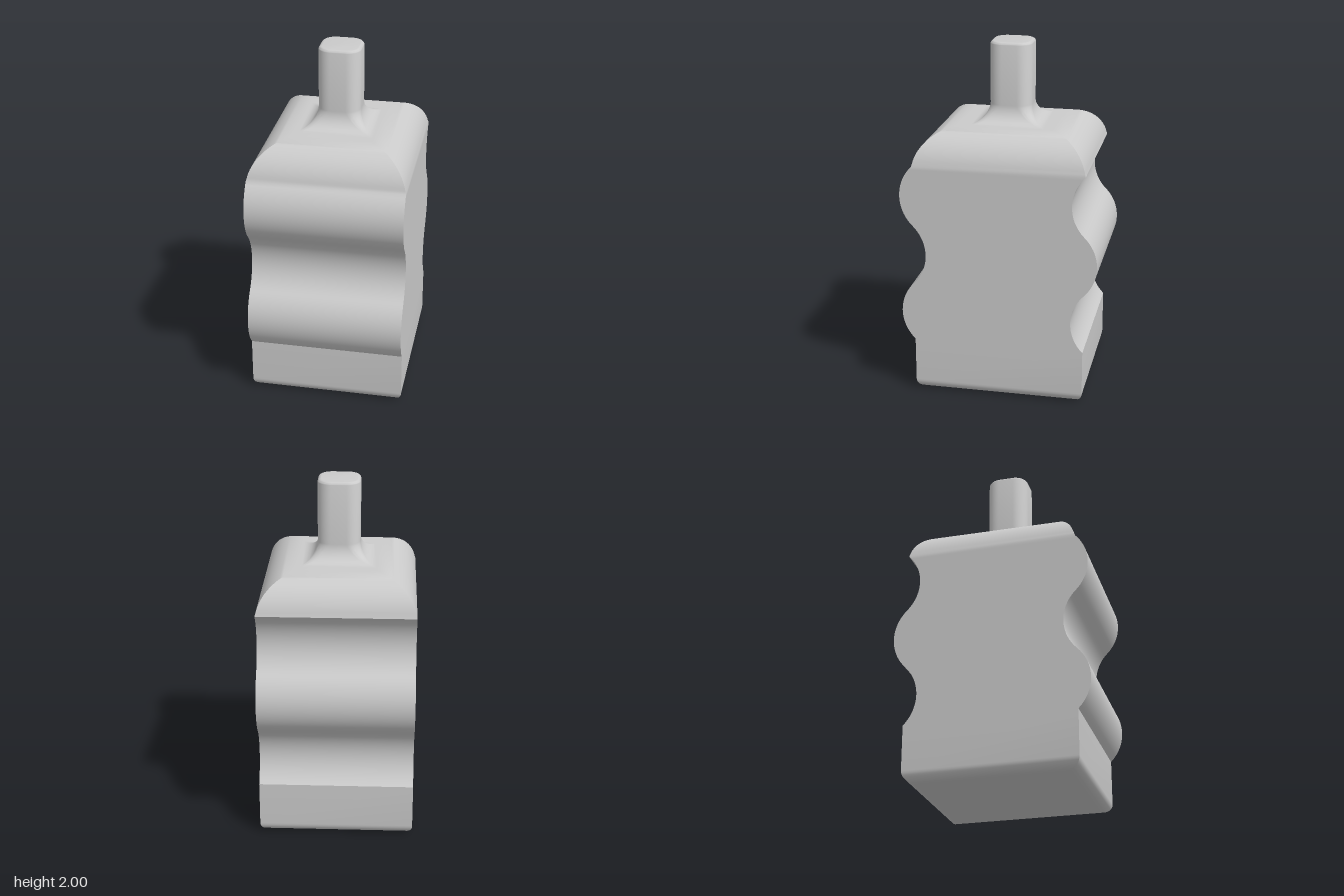
import * as THREE from 'three';
import { toCreasedNormals } from 'three/addons/utils/BufferGeometryUtils.js';

const HX = 0.44, HZ = 0.486;      // body half width and half depth
const WAVE_Y = 0.317, WAVE_H = 0.346, SAG = 0.072;
const WAVE_TOP = WAVE_Y + 3 * WAVE_H;
const TOP = 1.545, SHOULDER = 0.22;

// Ring of a (rounded) rectangle, counterclockwise seen from above
function ring({ y, x, front, back, r = 0 }, steps) {
  const points = [];
  const corners = [[1, back + r], [-1, back + r], [-1, front - r], [1, front - r]];
  corners.forEach(([side, z], k) => {
    for (let i = 0; i <= steps; i++) {
      const a = (k + (steps ? i / steps : 0.5)) * Math.PI / 2;
      points.push([side * (x - r) + r * Math.cos(a), y, z - r * Math.sin(a)]);
    }
  });
  return points;
}

// Skin stacked sections, with flat caps where wanted
function loft(sections, steps, capBottom) {
  const rings = sections.map(s => ring(s, steps));
  const n = rings[0].length, pos = [];
  const tri = (a, b, c) => pos.push(...a, ...b, ...c);
  for (let i = 0; i < rings.length - 1; i++) {
    for (let j = 0; j < n; j++) {
      const k = (j + 1) % n, lo = rings[i], hi = rings[i + 1];
      tri(lo[j], lo[k], hi[k]);
      tri(lo[j], hi[k], hi[j]);
    }
  }
  const first = rings[0], last = rings[rings.length - 1];
  for (let j = 1; j < n - 1; j++) {
    tri(last[0], last[j], last[j + 1]);
    if (capBottom) tri(first[0], first[j + 1], first[j]);
  }
  const geometry = new THREE.BufferGeometry();
  geometry.setAttribute('position', new THREE.Float32BufferAttribute(pos, 3));
  return toCreasedNormals(geometry, Math.PI / 6);
}

// Sideways shift of the three alternating arcs of the grip
function wave(y) {
  if (y <= WAVE_Y || y >= WAVE_TOP) return 0;
  const h = WAVE_H / 2;
  const radius = (h * h + SAG * SAG) / (2 * SAG);
  const index = Math.min(2, Math.floor((y - WAVE_Y) / WAVE_H));
  const d = y - WAVE_Y - (index + 0.5) * WAVE_H;
  const bulge = Math.sqrt(radius * radius - d * d) - (radius - SAG);
  return index % 2 ? -bulge : bulge;
}

function bodySections() {
  const sections = [];
  const add = (y, inset) => {
    const w = wave(y);
    sections.push({ y, x: HX - inset, front: HZ - inset + w, back: -HZ + inset + w });
  };
  // rounded foot
  const foot = 0.06;
  for (let i = 0; i <= 8; i++) {
    const a = i / 8 * Math.PI / 2;
    add(foot * (1 - Math.cos(a)), foot * (1 - Math.sin(a)));
  }
  // wavy grip
  for (let i = 0; i <= 60; i++) add(WAVE_Y + i / 60 * 3 * WAVE_H, 0);
  // rounded shoulders
  const start = Math.asin((WAVE_TOP - TOP + SHOULDER) / SHOULDER);
  for (let i = 1; i <= 20; i++) {
    const a = start + i / 20 * (Math.PI / 2 - start);
    add(TOP - SHOULDER * (1 - Math.sin(a)), SHOULDER * (1 - Math.cos(a)));
  }
  return sections;
}

function neckSections() {
  const sections = [], half = 0.12, corner = 0.078;
  const add = (y, x, r) => sections.push({ y, x, front: x, back: -x, r });
  // flared base, square at the bottom and rounded at the top
  for (let i = 0; i <= 14; i++) {
    const t = i / 14, a = t * Math.PI / 2;
    add(TOP + 0.1 * (1 - Math.cos(a)), half + 0.09 * (1 - Math.sin(a)), 0.003 + (corner - 0.003) * t);
  }
  // straight neck with a rounded rim
  const rim = 0.02;
  for (let i = 0; i <= 6; i++) {
    const a = i / 6 * Math.PI / 2, inset = rim * (1 - Math.cos(a));
    add(2 - rim * (1 - Math.sin(a)), half - inset, corner - inset);
  }
  return sections;
}

export function createModel() {
  const group = new THREE.Group();
  group.name = 'bottle';
  const material = new THREE.MeshStandardMaterial({ color: 0xcccccc });
  const add = (name, geometry) => {
    const mesh = new THREE.Mesh(geometry, material);
    mesh.name = name;
    group.add(mesh);
  };
  add('body', loft(bodySections(), 0, true));
  add('neck', loft(neckSections(), 10, false));
  return group;
}
